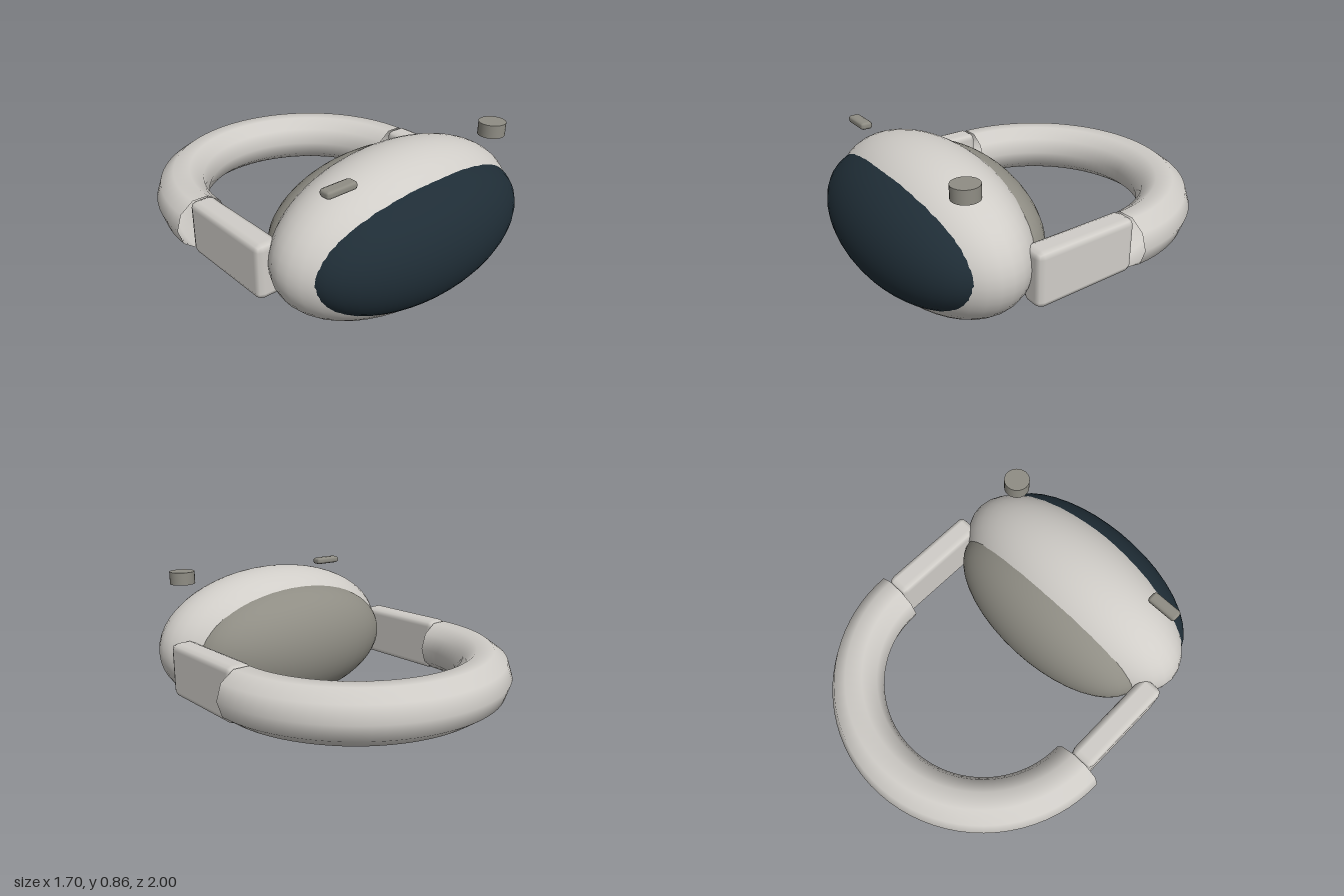
import * as THREE from 'three';
import { RoundedBoxGeometry } from 'three/addons/geometries/RoundedBoxGeometry.js';

const material = (name, color, side = THREE.FrontSide) =>
  new THREE.MeshStandardMaterial({ name, color, side });

export function createModel() {
  const shell = material('aluminium', 0xd0cdc8);
  const bandShell = shell;
  shell.side = THREE.DoubleSide;
  const grey = material('warm grey', 0x8f8d84);
  const glass = material('dark glass', 0x1f2d36);

  const group = new THREE.Group();
  group.name = 'headset';
  const add = (name, geometry, mat, x, y, z) => {
    const mesh = new THREE.Mesh(geometry, mat);
    mesh.name = name;
    mesh.position.set(x, y, z);
    group.add(mesh);
    return mesh;
  };
  const ellipsoid = (rx, ry, rz) => new THREE.SphereGeometry(1, 40, 28).scale(rx, ry, rz);

  // Three overlapping ellipsoids form the goggles
  add('frame', ellipsoid(0.76, 0.425, 0.38), shell, 0, 0.43, 0.56);
  add('visor', ellipsoid(0.693, 0.349, 0.33), glass, 0, 0.44, 0.67);
  add('faceCushion', ellipsoid(0.645, 0.341, 0.295), grey, 0, 0.425, 0.38);

  // Side arms
  for (const side of [-1, 1]) {
    add(side > 0 ? 'leftArm' : 'rightArm',
      new RoundedBoxGeometry(0.135, 0.295, 0.59, 1, 0.035), shell, side * 0.707, 0.387, 0.143);
  }

  // Half-ring head band, open at both ends
  const band = new THREE.TorusGeometry(0.705, 0.145, 10, 40, Math.PI).rotateX(-Math.PI / 2);
  add('headBand', band, bandShell, 0, 0.387, -0.152);

  // Top controls
  add('dial', new THREE.CylinderGeometry(0.07, 0.07, 0.07, 24), grey, 0.555, 0.832, 0.67);
  add('button', new RoundedBoxGeometry(0.175, 0.04, 0.065, 1, 0.016), grey, -0.498, 0.832, 0.667);

  return group;
}
